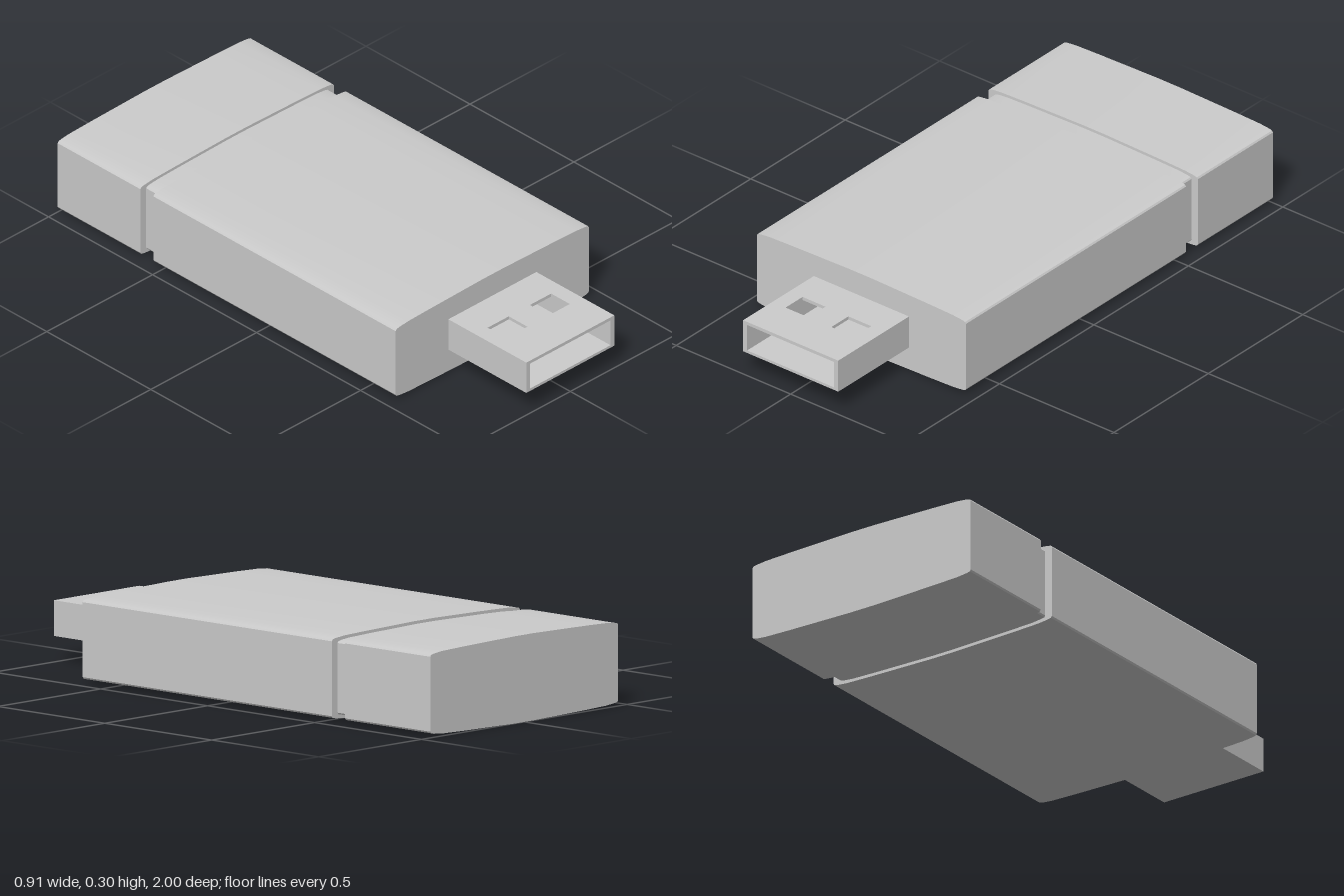
import * as THREE from 'three';
import { toCreasedNormals } from 'three/addons/utils/BufferGeometryUtils.js';

const MID = 0.15; // height of the centre line

// Upper right quarter of the softly bulged cross-section, relative to the centre line
const QUARTER = [
  [0.457, 0.128], [0.453, 0.134], [0.44, 0.137], [0.4, 0.141],
  [0.3, 0.144], [0.2, 0.146], [0.05, 0.149],
];

function bulgedShape(sx, sy) {
  const top = [...QUARTER, ...QUARTER.map(([x, y]) => [-x, y]).reverse()];
  const loop = [...top, ...top.map(([x, y]) => [-x, -y])];
  return new THREE.Shape(loop.map(([x, y]) => new THREE.Vector2(x * sx, y * sy)));
}

function rectPoints(x0, y0, x1, y1) {
  return [[x0, y0], [x1, y0], [x1, y1], [x0, y1]].map(([x, y]) => new THREE.Vector2(x, y));
}

export function createModel() {
  const model = new THREE.Group();
  model.name = 'flashDrive';
  const material = new THREE.MeshStandardMaterial({ color: 0xcccccc });

  const add = (name, geometry, parent = model) => {
    const mesh = new THREE.Mesh(geometry, material);
    mesh.name = name;
    parent.add(mesh);
    return mesh;
  };
  const extrude = (shape, depth) => new THREE.ExtrudeGeometry(shape, { depth, bevelEnabled: false });

  // Casing: main body, recessed neck and end cap along z
  const casing = (name, z0, z1, sx = 1, sy = 1) => {
    const geometry = toCreasedNormals(extrude(bulgedShape(sx, sy), z1 - z0), 0.3);
    add(name, geometry).position.set(0, MID, z0);
  };
  casing('body', -0.54, 0.625);
  casing('neck', -0.605, -0.535, 0.94, 0.93);
  casing('endCap', -1, -0.602);

  // Connector: open-fronted channel closed by a top plate with two windows
  const connector = new THREE.Group();
  connector.name = 'connector';
  model.add(connector);
  const W = 0.208, IN = 0.19, Z0 = 0.625, Z1 = 1;
  const channel = new THREE.Shape([
    [-W, 0.09], [W, 0.09], [W, 0.2], [IN, 0.2], [IN, 0.1], [-IN, 0.1], [-IN, 0.2], [-W, 0.2],
  ].map(([x, y]) => new THREE.Vector2(x, y)));
  add('connectorChannel', extrude(channel, Z1 - Z0), connector).position.z = Z0;

  const plate = new THREE.Shape(rectPoints(-W, -Z1, W, -Z0));
  for (const x of [-0.1, 0.1]) {
    plate.holes.push(new THREE.Path(rectPoints(x - 0.05, -0.845, x + 0.05, -0.755)));
  }
  const topPlate = add('connectorTopPlate', extrude(plate, 0.012), connector);
  topPlate.rotation.x = -Math.PI / 2;
  topPlate.position.y = 0.2;

  return model;
}
